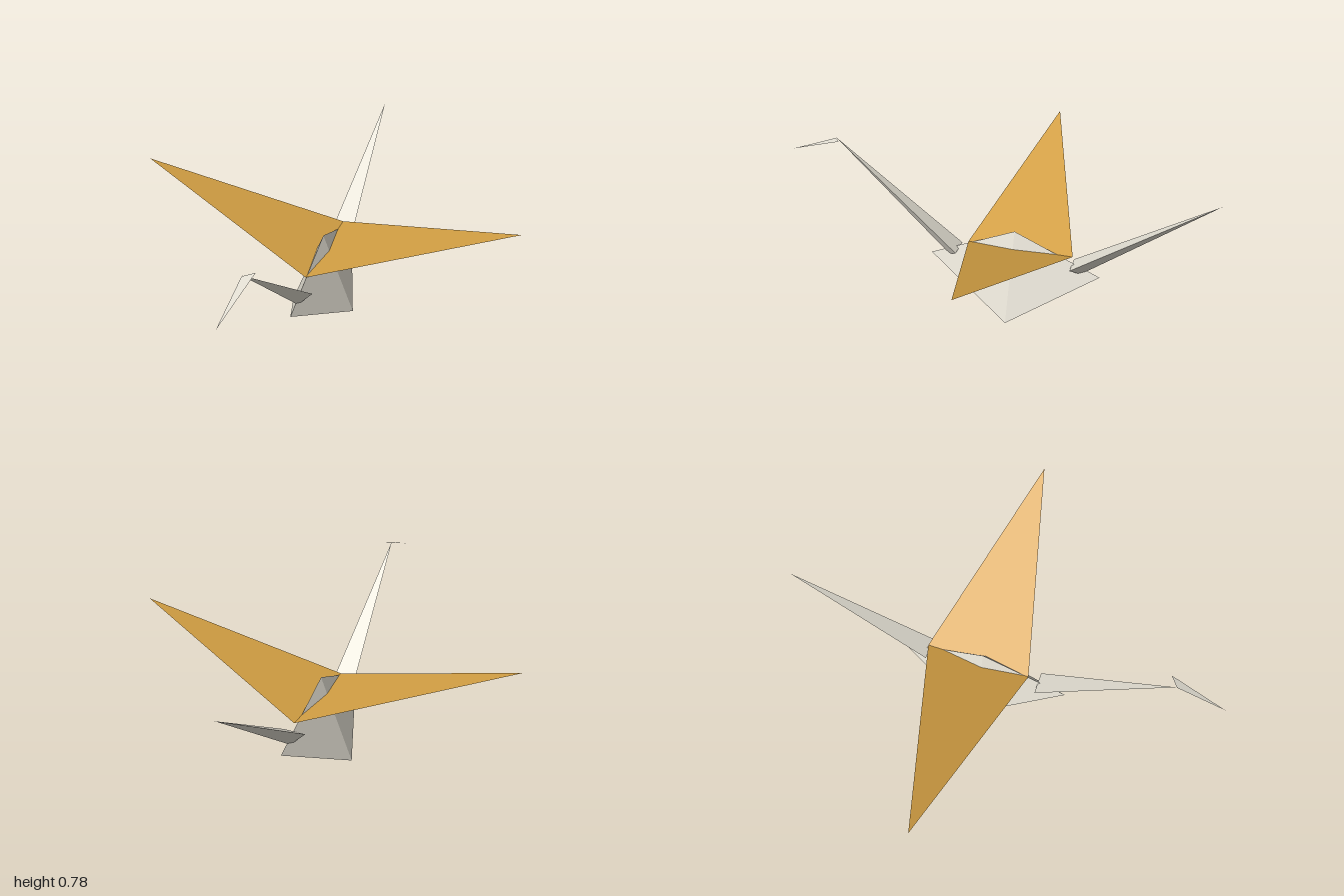
import * as THREE from 'three';
import { ConvexGeometry } from 'three/addons/geometries/ConvexGeometry.js';

const points = (list) => list.map((p) => new THREE.Vector3(...p));

// Closed faceted solid spanned by its corner points
function solid(name, corners, material) {
  const mesh = new THREE.Mesh(new ConvexGeometry(points(corners)), material);
  mesh.name = name;
  return mesh;
}

// Single folded sheet of paper with three corners
function sheet(name, corners, material) {
  const geometry = new THREE.BufferGeometry().setFromPoints(points(corners));
  geometry.computeVertexNormals();
  const mesh = new THREE.Mesh(geometry, material);
  mesh.name = name;
  return mesh;
}

export function createModel() {
  const paper = new THREE.MeshStandardMaterial({ color: 0xe0dcd0, flatShading: true, side: THREE.DoubleSide });
  paper.name = 'cream paper';
  const gold = new THREE.MeshStandardMaterial({ color: 0xd4a044, flatShading: true, side: THREE.DoubleSide });
  gold.name = 'gold paper';

  const crane = new THREE.Group();
  crane.name = 'foldedPaperBird';
  const midZ = -0.09;

  // Body: peaked top, wide bottom edge, pointed front and back
  crane.add(solid('body', [
    [0, 0.41, midZ],
    [0.157, 0, midZ], [-0.157, 0, midZ],
    [0, 0.23, 0.32], [0, 0.23, -0.497],
  ], paper));

  // Neck and tail: three-sided spikes, flat on top with a ridge beneath
  const spike = (name, baseZ, ridgeZ, tip) => solid(name, [
    [0.052, 0.275, baseZ], [-0.052, 0.275, baseZ], [0, 0.233, ridgeZ], tip,
  ], paper);
  crane.add(spike('neck', 0.182, 0.23, [0, 0.775, 0.768]));
  crane.add(spike('tail', -0.364, -0.408, [0, 0.68, -0.995]));

  // Head: one flap folded to the side and pointing forward
  crane.add(sheet('head', [
    [0, 0.772, 0.77], [0, 0.688, 0.998], [0.043, 0.777, 0.735],
  ], paper));

  // Wings: mirrored sheets rising from the root line
  for (const side of [1, -1]) {
    const root = [[0, 0.32, 0.134], [0, 0.32, -0.367]];
    if (side < 0) root.reverse();
    const tip = [side * 0.905, 0.637, -0.093];
    crane.add(sheet(side > 0 ? 'leftWing' : 'rightWing', [root[0], tip, root[1]], gold));
  }

  return crane;
}
